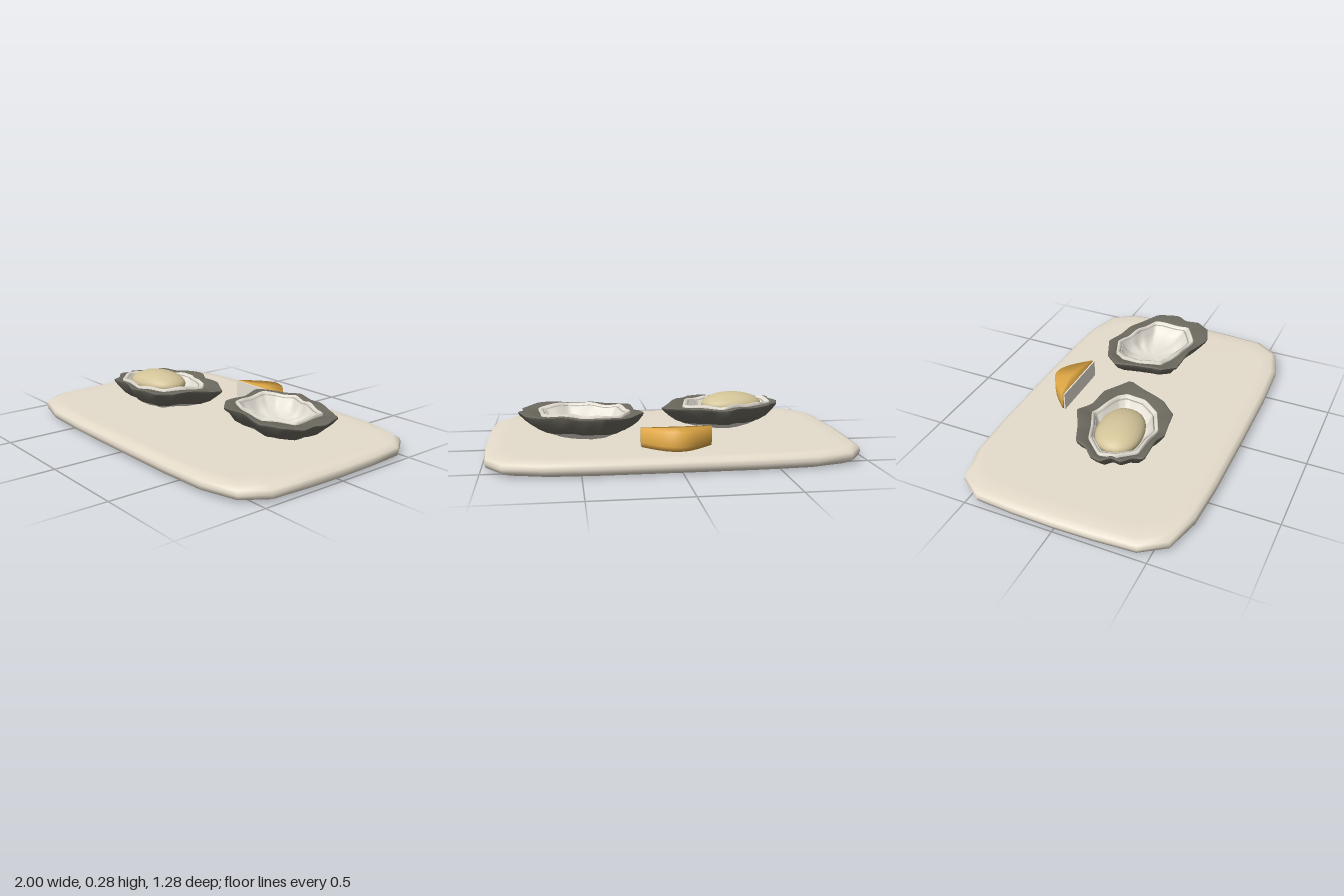
import * as THREE from 'three';

const mat = (name, color, side = THREE.FrontSide) => {
  const m = new THREE.MeshStandardMaterial({ color, side });
  m.name = name;
  return m;
};

// Smooth skin over closed rings, listed from the underside, round the rim and inwards
function loft(rings) {
  const n = rings[0].length, pos = [], idx = [];
  rings.forEach(r => r.forEach(p => pos.push(p.x, p.y, p.z)));
  for (let i = 0; i < rings.length - 1; i++) {
    for (let j = 0; j < n; j++) {
      const k = (j + 1) % n;
      const a = i * n + j, b = a + n, c = i * n + k, d = c + n;
      idx.push(a, b, c, c, b, d);
    }
  }
  const g = new THREE.BufferGeometry();
  g.setAttribute('position', new THREE.Float32BufferAttribute(pos, 3));
  g.setIndex(idx);
  g.computeVertexNormals();
  return g;
}

// Radius by angle of a straight-sided outline of [x, z] points around a centre
function polar([cx, cz], points) {
  const TAU = Math.PI * 2;
  const list = points.map(([x, z]) => ({
    a: (Math.atan2(z - cz, x - cx) + TAU) % TAU, r: Math.hypot(x - cx, z - cz),
  })).sort((p, q) => p.a - q.a);
  const first = list[0], last = list[list.length - 1];
  const all = [{ a: last.a - TAU, r: last.r }, ...list, { a: first.a + TAU, r: first.r }];
  return t => {
    const i = all.findIndex(p => p.a > t);
    const p = all[i - 1], q = all[i];
    return p.r * q.r * Math.sin(q.a - p.a) / (p.r * Math.sin(t - p.a) + q.r * Math.sin(q.a - t) || 1);
  };
}

export function createModel() {
  const model = new THREE.Group();
  const stone = mat('board stone', 0xe5dccb);
  const darkShell = mat('dark shell', 0x6c695f);
  const nacre = mat('pale nacre', 0xe8e3d8, THREE.DoubleSide);
  const flesh = mat('oyster flesh', 0xd2c398);
  const rind = mat('lemon rind', 0xdfa744);
  const pith = mat('lemon pith', 0xf2ede0);
  const add = (name, geometry, material, parent = model) => {
    const m = new THREE.Mesh(geometry, material);
    m.name = name;
    parent.add(m);
    return m;
  };

  // Serving board: mirrored quarter outline with a rounded edge
  const quarter = [[1, 0], [0.995, 0.22], [0.98, 0.44], [0.89, 0.57], [0.69, 0.625], [0.42, 0.638], [0, 0.64]];
  const half = [...quarter, ...quarter.slice(0, -1).reverse().map(([x, z]) => [-x, z])];
  const outline = [...half, ...half.slice(1, -1).reverse().map(([x, z]) => [x, -z])];
  const boardRing = (scale, y) => outline.map(([x, z]) => new THREE.Vector3(x * scale, y, z * scale));
  add('servingBoard', loft([[0, 0], [0.88, 0], [0.955, 0.003], [0.993, 0.018], [1, 0.04],
    [0.993, 0.062], [0.96, 0.077], [0.88, 0.08], [0, 0.08]].map(([s, y]) => boardRing(s, y))), stone);

  // One half shell: foot, dark body with flange, ruffled lip and hollow
  function shell(name, centre, outer, inner, phase) {
    const N = 110, g = new THREE.Group();
    g.name = name;
    model.add(g);
    const R = polar(centre, outer), r = polar(centre, inner);
    const ring = (radius, s, y, wave = 0, lobes = 7) => Array.from({ length: N }, (_, i) => {
      const a = i / N * Math.PI * 2;
      const ripple = Math.sin(a * lobes + phase) + 0.6 * Math.sin(a * (lobes - 4) + phase * 2);
      const d = radius(a) * s;
      return new THREE.Vector3(centre[0] + Math.cos(a) * d, y + wave * ripple, centre[1] + Math.sin(a) * d);
    });
    add('shellFoot', loft([
      ring(R, 0, 0.082), ring(R, 0.28, 0.083), ring(R, 0.43, 0.096, 0.003), ring(R, 0.67, 0.128, 0.003),
    ]), nacre, g);
    add('shellBody', loft([
      ring(R, 0.66, 0.125, 0.003), ring(R, 0.8, 0.15, 0.004), ring(R, 0.9, 0.18, 0.004, 11),
      ring(R, 0.985, 0.21, 0.004), ring(R, 1, 0.223, 0.004),
    ]), darkShell, g);
    add('shellFlange', loft([
      ring(R, 1, 0.223, 0.004), ring(R, 0.96, 0.229, 0.004), ring(r, 1.02, 0.218, 0.003),
      ring(r, 0.82, 0.196),
    ]), darkShell, g);
    add('shellLip', loft([
      ring(r, 1, 0.215, 0.003), ring(r, 1, 0.229, 0.005), ring(r, 0.97, 0.233, 0.005),
      ring(r, 0.9, 0.225, 0.004), ring(r, 0.898, 0.205),
    ]), nacre, g);
    add('shellHollow', loft([
      ring(r, 0.885, 0.2), ring(r, 0.88, 0.222, 0.004), ring(r, 0.85, 0.218, 0.004),
      ring(r, 0.77, 0.183, 0.005, 9), ring(r, 0.62, 0.155, 0.004, 9),
      ring(r, 0.4, 0.142, 0.0015), ring(r, 0.15, 0.136), ring(r, 0, 0.134),
    ]), nacre, g);
    return g;
  }

  const filled = shell('filledShell', [-0.36, 0.08],
    [[-0.33, -0.2], [-0.24, -0.15], [-0.12, -0.14], [0.04, -0.05], [-0.03, 0.08], [-0.075, 0.2], [-0.16, 0.29],
      [-0.34, 0.315], [-0.4, 0.295], [-0.56, 0.295], [-0.58, 0.24], [-0.635, 0.2], [-0.625, 0.14], [-0.665, 0.1],
      [-0.65, 0.04], [-0.6, -0.01], [-0.575, -0.08], [-0.46, -0.13]],
    [[-0.32, -0.115], [-0.22, -0.08], [-0.13, -0.05], [-0.09, -0.01], [-0.12, 0.11], [-0.18, 0.205],
      [-0.32, 0.27], [-0.53, 0.25], [-0.61, 0.16], [-0.62, 0.07], [-0.53, -0.03], [-0.42, -0.07]], 0.6);

  shell('emptyShell', [0.45, -0.1],
    [[0.37, -0.345], [0.565, -0.295], [0.7, -0.24], [0.78, -0.195], [0.825, -0.065], [0.79, -0.01], [0.805, 0.07],
      [0.73, 0.16], [0.62, 0.2], [0.47, 0.15], [0.27, 0.135], [0.2, 0.065], [0.19, -0.08], [0.145, -0.2], [0.225, -0.285]],
    [[0.38, -0.29], [0.565, -0.23], [0.695, -0.175], [0.705, -0.05], [0.715, 0.04], [0.565, 0.13],
      [0.405, 0.1], [0.255, 0.04], [0.225, -0.105], [0.22, -0.185], [0.27, -0.25]], 2.1);

  // Oyster: a slightly lumpy ellipsoid
  const meat = new THREE.SphereGeometry(1, 40, 24);
  const p = meat.attributes.position;
  for (let i = 0; i < p.count; i++) {
    const x = p.getX(i), y = p.getY(i), z = p.getZ(i);
    const k = 1 + 0.035 * Math.sin(3 * x + 1) * Math.cos(2.5 * z);
    p.setXYZ(i, x * k * 0.182, y * k * 0.067, z * k * 0.13 - x * 0.015);
  }
  meat.computeVertexNormals();
  add('oyster', meat, flesh, filled).position.set(-0.392, 0.212, 0.088);

  // Lemon wedge: softly shaded rind block with a pale cut face
  const lemon = new THREE.Group();
  lemon.name = 'lemonWedge';
  model.add(lemon);
  const arc = new THREE.SplineCurve([[-0.19, -0.374], [-0.115, -0.446], [-0.055, -0.49], [0, -0.504],
    [0.055, -0.49], [0.115, -0.446], [0.185, -0.374]].map(([x, z]) => new THREE.Vector2(x, z))).getPoints(24);
  const wedge = [[0.185, -0.362], [-0.19, -0.362], ...arc.map(v => [v.x, v.y])];
  const wedgeRing = (s, y) => wedge.map(([x, z]) => new THREE.Vector3(x * s, y, -0.41 + (z + 0.41) * s));
  add('lemonRind', loft([wedgeRing(0, 0.081), wedgeRing(0.98, 0.082), wedgeRing(1, 0.105),
    wedgeRing(1, 0.183), wedgeRing(0, 0.185)]), rind, lemon);
  add('lemonCutFace', new THREE.BoxGeometry(0.375, 0.1, 0.008), pith, lemon).position.set(-0.0025, 0.132, -0.358);

  return model;
}
